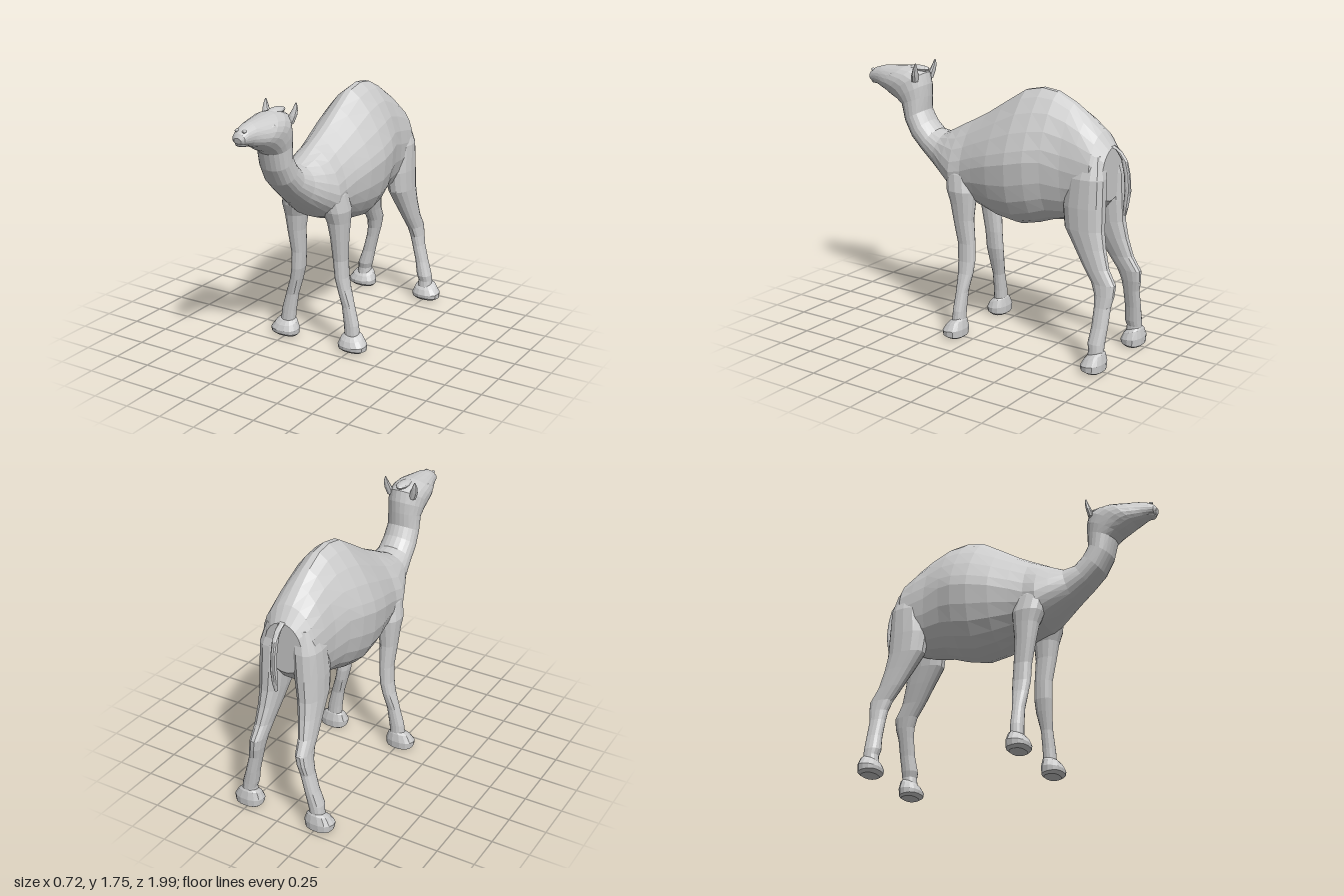
import * as THREE from 'three';

const material = new THREE.MeshStandardMaterial({ color: 0xcccccc, flatShading: true });

// Closed skin through rings of points; both ends are capped with a fan.
function loft(name, rings) {
  const n = rings[0].length, positions = [], index = [];
  rings.forEach(r => r.forEach(p => positions.push(p.x, p.y, p.z)));
  for (let i = 0; i < rings.length - 1; i++) {
    for (let j = 0; j < n; j++) {
      const a = i * n + j, a1 = i * n + (j + 1) % n;
      index.push(a, a1, a1 + n, a, a1 + n, a + n);
    }
  }
  [rings[0], rings[rings.length - 1]].forEach((ring, end) => {
    const c = ring.reduce((s, p) => s.add(p), new THREE.Vector3()).divideScalar(n);
    const ci = positions.length / 3, base = end * (rings.length - 1) * n;
    positions.push(c.x, c.y, c.z);
    for (let j = 0; j < n; j++) {
      const a = base + j, b = base + (j + 1) % n;
      if (end) index.push(ci, a, b); else index.push(ci, b, a);
    }
  });
  const g = new THREE.BufferGeometry();
  g.setAttribute('position', new THREE.Float32BufferAttribute(positions, 3));
  g.setIndex(index);
  g.computeVertexNormals();
  const mesh = new THREE.Mesh(g, material);
  mesh.name = name;
  return mesh;
}

const power = (v, p) => Math.sign(v) * Math.abs(v) ** p;

// Ring spanned between a top and a bottom point in the middle plane:
// [topZ, topY, bottomZ, bottomY, half width, height of widest point 0..1, peakedness]
function spineRing([tz, ty, bz, by, w, f = 0.5, p = 1], n = 22) {
  return Array.from({ length: n }, (_, j) => {
    const a = j / n * Math.PI * 2, c = Math.cos(a), s = Math.sin(a);
    const e = s > 0 ? p : 0.9;
    const t = f + power(s, e) * (s > 0 ? 1 - f : f);
    return new THREE.Vector3(w * power(c, e), by + (ty - by) * t, bz + (tz - bz) * t);
  });
}

// Near-horizontal ring: [y, x, z, radius x, radius z, slope along z]
function limbRing([y, x, z, rx, rz, slope = 0], side, n = 14) {
  return Array.from({ length: n }, (_, j) => {
    const a = j / n * Math.PI * 2;
    const dz = rz * power(Math.sin(a), 0.85);
    return new THREE.Vector3(side * x + rx * power(Math.cos(a), 0.85), y + slope * dz, z + dz);
  });
}
const limb = (name, rows, side = 1, n = 14) => loft(name, rows.map(r => limbRing(r, side, n)));

function ellipsoid(name, pos, scale, rotY = 0) {
  const mesh = new THREE.Mesh(new THREE.SphereGeometry(1, 12, 8), material);
  mesh.name = name;
  mesh.position.set(...pos);
  mesh.scale.set(...scale);
  mesh.rotation.y = rotY;
  return mesh;
}

// Rump, hump, chest and the lower neck
const trunk = [
  [-0.87, 1.36, -0.86, 1.02, 0.13],
  [-0.8, 1.45, -0.8, 0.95, 0.185],
  [-0.7, 1.535, -0.71, 0.9, 0.195, 0.48, 1.05],
  [-0.6, 1.605, -0.61, 0.865, 0.205, 0.48, 1.15],
  [-0.48, 1.665, -0.48, 0.845, 0.235, 0.5, 1.3],
  [-0.37, 1.68, -0.38, 0.81, 0.267, 0.5, 1.4],
  [-0.25, 1.655, -0.25, 0.78, 0.28, 0.5, 1.4],
  [-0.1, 1.56, -0.1, 0.805, 0.265, 0.5, 1.35],
  [0.03, 1.475, 0.03, 0.85, 0.235, 0.47, 1.25],
  [0.13, 1.42, 0.13, 0.88, 0.215, 0.42, 1.2],
  [0.21, 1.38, 0.22, 0.915, 0.22, 0.38, 1.2],
  [0.28, 1.34, 0.31, 0.98, 0.185, 0.42, 1.1],
  [0.36, 1.3, 0.42, 1.06, 0.14],
];
// Neck rising to the throat
const neck = [
  [0.43, 1.31, 0.53, 1.15, 0.12],
  [0.485, 1.365, 0.62, 1.235, 0.115],
  [0.52, 1.43, 0.68, 1.34, 0.11],
  [0.515, 1.52, 0.71, 1.45, 0.11],
];
// Skull and muzzle
const head = [
  [0.515, 1.6, 0.75, 1.478, 0.118],
  [0.53, 1.675, 0.8, 1.5, 0.122],
  [0.6, 1.703, 0.825, 1.515, 0.122],
  [0.68, 1.71, 0.85, 1.53, 0.115],
  [0.78, 1.7, 0.88, 1.54, 0.095],
  [0.88, 1.69, 0.92, 1.555, 0.07],
  [0.95, 1.67, 0.955, 1.565, 0.054],
  [0.985, 1.645, 0.98, 1.575, 0.045],
  [1.0, 1.62, 0.993, 1.59, 0.025],
];

const frontLeg = [
  [1.22, 0.1, 0.17, 0.06, 0.07],
  [1.08, 0.13, 0.165, 0.09, 0.1],
  [0.97, 0.15, 0.145, 0.09, 0.105],
  [0.89, 0.16, 0.135, 0.07, 0.085],
  [0.78, 0.163, 0.13, 0.056, 0.07],
  [0.62, 0.16, 0.11, 0.045, 0.06],
  [0.5, 0.167, 0.105, 0.042, 0.06],
  [0.42, 0.183, 0.103, 0.04, 0.053],
  [0.3, 0.217, 0.107, 0.043, 0.038],
  [0.18, 0.242, 0.11, 0.05, 0.04],
  [0.08, 0.252, 0.112, 0.05, 0.042],
];
const hindLeg = [
  [1.32, 0.085, -0.77, 0.07, 0.08],
  [1.18, 0.115, -0.755, 0.088, 0.125],
  [1.0, 0.125, -0.745, 0.085, 0.14],
  [0.86, 0.135, -0.755, 0.075, 0.133],
  [0.75, 0.145, -0.8, 0.063, 0.107],
  [0.63, 0.158, -0.855, 0.05, 0.086],
  [0.54, 0.165, -0.913, 0.044, 0.082],
  [0.47, 0.175, -0.925, 0.042, 0.066],
  [0.4, 0.188, -0.922, 0.04, 0.054],
  [0.28, 0.217, -0.922, 0.042, 0.052],
  [0.18, 0.242, -0.915, 0.05, 0.054],
  [0.14, 0.25, -0.92, 0.046, 0.048],
  [0.08, 0.252, -0.915, 0.05, 0.05],
];
// Broad flat feet, sloping down towards the toes
const foot = z => [
  [0.12, 0.252, z - 0.01, 0.05, 0.045, -0.3],
  [0.1, 0.255, z - 0.003, 0.075, 0.06, -0.3],
  [0.055, 0.262, z, 0.1, 0.073, -0.1],
  [0.018, 0.262, z, 0.096, 0.07, 0.1],
  [0.002, 0.258, z - 0.005, 0.075, 0.05, 0.05],
];
const ear = [
  [1.745, 0.108, 0.545, 0.004, 0.004],
  [1.71, 0.106, 0.55, 0.018, 0.012],
  [1.67, 0.096, 0.56, 0.028, 0.018],
  [1.62, 0.08, 0.57, 0.025, 0.02],
];
const tail = [
  [1.37, 0, -0.85, 0.02, 0.03, 0.3],
  [1.345, 0, -0.905, 0.02, 0.03, 0.8],
  [1.29, 0, -0.945, 0.018, 0.022, 0.4],
  [1.2, 0, -0.967, 0.018, 0.02],
  [1.1, 0, -0.975, 0.02, 0.02],
  [1.0, 0, -0.964, 0.018, 0.016],
  [0.945, 0, -0.955, 0.01, 0.012],
];

export function createModel() {
  const model = new THREE.Group();
  model.name = 'camel';
  model.add(loft('body', [...trunk, ...neck, ...head].map(r => spineRing(r))));
  model.add(limb('tail', tail, 1, 10));
  model.add(ellipsoid('forelock', [0, 1.695, 0.6], [0.04, 0.022, 0.085]));

  // Paired parts
  for (const [side, label] of [[1, 'left'], [-1, 'right']]) {
    model.add(
      limb(label + 'FrontLeg', frontLeg, side),
      limb(label + 'FrontFoot', foot(0.13), side),
      limb(label + 'HindLeg', hindLeg, side),
      limb(label + 'HindFoot', foot(-0.91), side),
      limb(label + 'Ear', ear, side, 8),
      ellipsoid(label + 'Eye', [side * 0.093, 1.642, 0.762], [0.012, 0.015, 0.028], -side * 0.25),
      ellipsoid(label + 'Nostril', [side * 0.026, 1.655, 0.962], [0.012, 0.01, 0.016]),
    );
  }
  // Lower lip
  model.add(ellipsoid('lowerLip', [0, 1.574, 0.95], [0.042, 0.014, 0.04]));
  return model;
}
